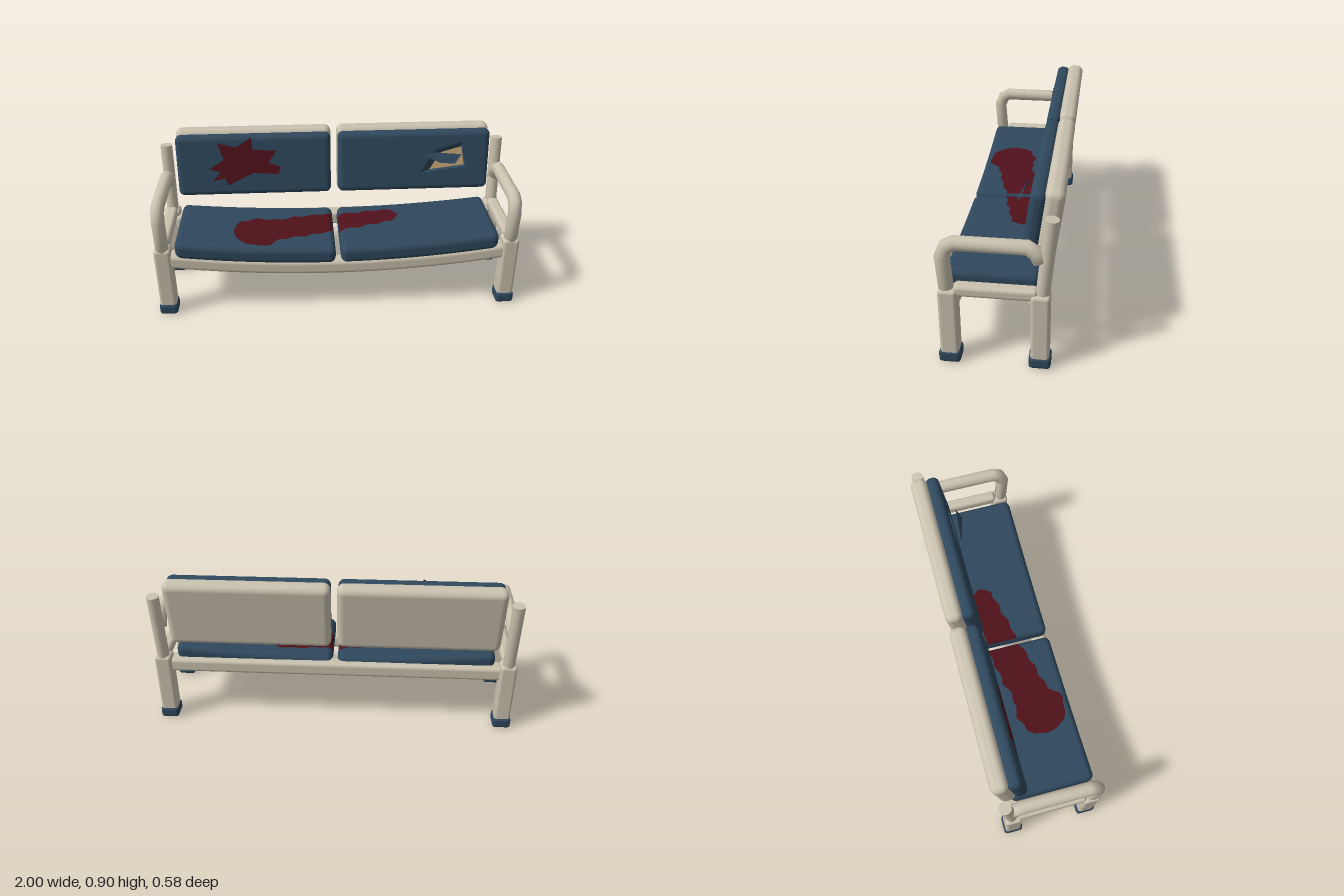
import * as THREE from 'three';

const mat = (color, side = THREE.FrontSide) => new THREE.MeshStandardMaterial({ color, side });
const BEIGE = mat(0xcac2af), BLUE = mat(0x2f485d);
const BLUE2 = mat(0x2f485d, THREE.DoubleSide), RED2 = mat(0x50111a, THREE.DoubleSide);
const FOAM = mat(0xc8a878, THREE.DoubleSide);

function add(parent, name, geo, material, x = 0, y = 0, z = 0) {
  const m = new THREE.Mesh(geo, material);
  m.name = name;
  m.position.set(x, y, z);
  parent.add(m);
  return m;
}

// Box with rounded edges of radius r; xMid = divisions along x so it can be bent
function softBox(w, h, d, r, xMid = 1) {
  const k = 4, mids = [xMid, 1, 1], size = [w, h, d];
  const n = mids.map((m) => m + 2 * k);
  const geo = new THREE.BoxGeometry(1, 1, 1, ...n);
  const p = geo.attributes.position, e = new THREE.Vector3(), c = new THREE.Vector3();
  for (let v = 0; v < p.count; v++) {
    for (let a = 0; a < 3; a++) {
      const i = Math.round((p.getComponent(v, a) + 0.5) * n[a]);
      const inner = size[a] / 2 - r;
      const out = i < k ? i / k - 1 : i > n[a] - k ? (i - n[a] + k) / k : 0;
      e.setComponent(a, Math.tan(out * Math.PI / 4));
      const t = THREE.MathUtils.clamp((i - k) / mids[a], 0, 1);
      c.setComponent(a, inner * (2 * t - 1));
    }
    e.normalize();
    c.addScaledVector(e, r);
    p.setXYZ(v, c.x, c.y, c.z);
    geo.attributes.normal.setXYZ(v, e.x, e.y, e.z);
  }
  return geo;
}

// Sag: higher towards the outer ends; lift flattens the sag towards the rear
function sag(x, z, { rise, half, lift, d }) {
  const t = (x / half) ** 2;
  return rise * t + lift * (1 - t) * (0.5 - z / d);
}
function bend(geo, cx, spec) {
  const p = geo.attributes.position;
  for (let v = 0; v < p.count; v++) p.setY(v, p.getY(v) + sag(p.getX(v) + cx, p.getZ(v), spec));
  return geo;
}

// Round bar with mitred bends along [z, y] points
function bentBar(pts, r, sides = 16) {
  const P = pts.map(([z, y]) => new THREE.Vector2(z, y)), pos = [], idx = [];
  P.forEach((pt, i) => {
    const a = P[Math.max(i - 1, 0)], b = P[Math.min(i + 1, P.length - 1)];
    const d0 = pt.clone().sub(a).normalize(), d1 = b.clone().sub(pt).normalize();
    const t = d0.clone().add(d1).normalize();
    const miter = 1 / (i && i < P.length - 1 ? t.dot(d1) : 1);
    for (let s = 0; s < sides; s++) {
      const q = s / sides * Math.PI * 2, u = Math.cos(q) * r * miter;
      pos.push(Math.sin(q) * r, pt.y + t.x * u, pt.x - t.y * u);
      const n = i * sides + s, m = i * sides + (s + 1) % sides;
      if (i < P.length - 1) idx.push(n, n + sides, m, m, n + sides, m + sides);
    }
  });
  const last = (P.length - 1) * sides;
  for (let s = 1; s < sides - 1; s++) idx.push(0, s, s + 1, last, last + s + 1, last + s);
  const geo = new THREE.BufferGeometry();
  geo.setAttribute('position', new THREE.Float32BufferAttribute(pos, 3));
  geo.setIndex(idx);
  geo.computeVertexNormals();
  return geo;
}

const SEAT = { x: 0.448, w: 0.868, h: 0.1, d: 0.46, r: 0.035, y: 0.343, z: 0.047, rise: 0.062, half: 0.88, lift: 0.015 };
const FRONT_RAIL = { d: 0.085, rise: 0.065, half: 0.9, lift: 0 };
const BACK = { x: 0.4525, y: 0.712, z: -0.151, w: 0.865, h: 0.35, d: 0.076, r: 0.032, lean: 0.13 };
const toBack = (side) => ([x, y]) => new THREE.Vector2(x - side * BACK.x, (y - BACK.y) / Math.cos(BACK.lean));

// Spill draped over both seat cushions: columns of [x, back z, front z]
function spillGeometry() {
  const cols = [[-0.575, 0.11, 0.11], [-0.56, 0.04, 0.17], [-0.53, 0, 0.21], [-0.45, -0.03, 0.245], [-0.365, -0.025, 0.235],
    [-0.32, -0.02, 0.18], [-0.25, -0.05, 0.16], [-0.16, -0.065, 0.14], [-0.08, -0.08, 0.115], [0, -0.09, 0.09],
    [0.08, -0.08, 0.08], [0.215, -0.1, 0.045], [0.325, -0.1, 0.02], [0.36, -0.05, -0.04]];
  const at = (x, c) => {
    let i = 0;
    while (i < cols.length - 2 && cols[i + 1][0] < x) i++;
    return THREE.MathUtils.mapLinear(x, cols[i][0], cols[i + 1][0], cols[i][c], cols[i + 1][c]) + 0.006 * Math.sin(x * 60);
  };
  const point = (x, z) => {
    const gap = Math.max(SEAT.r - (Math.abs(x) - (SEAT.x - SEAT.w / 2)), 0);
    const drop = SEAT.r - Math.sqrt(Math.max(SEAT.r ** 2 - gap ** 2, 0));
    return [x, SEAT.y + SEAT.h / 2 + sag(x, z - SEAT.z, SEAT) - drop + 0.003, z];
  };
  const pos = [], idx = [], n = 120;
  for (let i = 0; i <= n; i++) {
    const x = -0.575 + 0.935 * i / n;
    pos.push(...point(x, at(x, 1)), ...point(x, at(x, 2)));
    const j = 2 * i;
    if (i < n && Math.abs(x + 0.004) > 0.018) idx.push(j, j + 1, j + 3, j, j + 3, j + 2);
  }
  const geo = new THREE.BufferGeometry();
  geo.setAttribute('position', new THREE.Float32BufferAttribute(pos, 3));
  geo.setIndex(idx);
  geo.computeVertexNormals();
  return geo;
}

// Hole in a back cushion: open its front, refill around the tear, add sloping walls and foam
function tearCushion(group, geo) {
  const front = BACK.d / 2, lo = front - 0.025, p = geo.attributes.position;
  const hx = BACK.w / 2 - BACK.r, hy = BACK.h / 2 - BACK.r;
  const keep = [], ix = geo.index.array;
  for (let i = 0; i < ix.length; i += 3) {
    const tri = [ix[i], ix[i + 1], ix[i + 2]];
    if (!tri.every((v) => p.getZ(v) > front - 1e-5)) keep.push(...tri);
  }
  geo.setIndex(keep);
  const tear = [[0.489, 0.643], [0.574, 0.777], [0.729, 0.82], [0.755, 0.675]].map(toBack(1));
  const focus = toBack(1)([0.72, 0.69]);
  const floor = tear.map((q) => q.clone().lerp(focus, 0.25));
  const face = new THREE.Shape([[-hx, -hy], [hx, -hy], [hx, hy], [-hx, hy]].map((q) => new THREE.Vector2(...q)));
  face.holes.push(new THREE.Path(tear));
  add(group, 'tornCover', new THREE.ShapeGeometry(face), BLUE2, 0, 0, front);
  add(group, 'foam', new THREE.ShapeGeometry(new THREE.Shape(floor)), FOAM, 0, 0, lo);
  const wall = [];
  tear.forEach((a, i) => {
    const j = (i + 1) % tear.length, b = tear[j], c = floor[i], d = floor[j];
    wall.push(a.x, a.y, front, b.x, b.y, front, d.x, d.y, lo, a.x, a.y, front, d.x, d.y, lo, c.x, c.y, lo);
  });
  const wallGeo = new THREE.BufferGeometry();
  wallGeo.setAttribute('position', new THREE.Float32BufferAttribute(wall, 3));
  wallGeo.computeVertexNormals();
  add(group, 'tearWall', wallGeo, BLUE2);
}

export function createModel() {
  const bench = new THREE.Group();
  bench.name = 'bench';

  // End frames: legs, feet, side rail, armrest and back post
  for (const [side, label] of [[1, 'left'], [-1, 'right']]) {
    const frame = new THREE.Group();
    frame.name = label + 'Frame';
    frame.position.x = side * 0.95;
    bench.add(frame);
    for (const [z, end] of [[0.236, 'front'], [-0.196, 'rear']]) {
      add(frame, end + 'Leg', softBox(0.09, 0.37, 0.09, 0.017), BEIGE, 0, 0.227, z);
      add(frame, end + 'Foot', softBox(0.1, 0.065, 0.106, 0.018), BLUE, 0, 0.0325, z);
    }
    add(frame, 'sideRail', softBox(0.065, 0.06, 0.39, 0.02), BEIGE, 0, 0.405, 0.013);
    add(frame, 'armrest', bentBar([[0.243, 0.39], [0.256, 0.575], [0.235, 0.63], [0.198, 0.65],
      [-0.13, 0.65], [-0.172, 0.622], [-0.19, 0.585]], 0.036), BEIGE);
    add(frame, 'backPost', new THREE.CylinderGeometry(0.033, 0.033, 0.42, 20), BEIGE, 0, 0.592, -0.221)
      .rotation.x = -0.09;
  }

  // Long rails: sagging at the front, straight at the rear
  add(bench, 'frontRail', bend(softBox(1.86, 0.085, FRONT_RAIL.d, 0.025, 24), 0, FRONT_RAIL), BEIGE, 0, 0.268, 0.231);
  add(bench, 'rearRail', softBox(1.86, 0.08, 0.085, 0.02), BEIGE, 0, 0.345, -0.175);

  // Seat cushions and padded backs
  for (const [side, label] of [[1, 'left'], [-1, 'right']]) {
    const seat = bend(softBox(SEAT.w, SEAT.h, SEAT.d, SEAT.r, 16), side * SEAT.x, SEAT);
    add(bench, label + 'Seat', seat, BLUE, side * SEAT.x, SEAT.y, SEAT.z);

    const back = new THREE.Group();
    back.name = label + 'Back';
    back.position.set(side * BACK.x, BACK.y, BACK.z);
    back.rotation.x = -BACK.lean;
    bench.add(back);
    add(back, 'backShell', softBox(0.872, 0.39, 0.092, 0.037), BEIGE, 0, 0.002, -0.073);
    const pad = softBox(BACK.w, BACK.h, BACK.d, BACK.r);
    add(back, 'backCushion', pad, BLUE);
    if (side > 0) tearCushion(back, pad);
    else {
      const splat = [[-0.707, 0.697], [-0.643, 0.68], [-0.686, 0.627], [-0.617, 0.643], [-0.6, 0.6], [-0.515, 0.643],
        [-0.456, 0.67], [-0.318, 0.659], [-0.302, 0.702], [-0.371, 0.729], [-0.323, 0.798], [-0.456, 0.804],
        [-0.462, 0.878], [-0.547, 0.82], [-0.65, 0.846], [-0.62, 0.75]].map(toBack(-1));
      add(back, 'backStain', new THREE.ShapeGeometry(new THREE.Shape(splat)), RED2, 0, 0, BACK.d / 2 + 0.003);
    }
  }
  add(bench, 'seatStain', spillGeometry(), RED2);

  // Loose, twisted flap of torn cover
  const flapPts = [[0.51, 0.761, -0.093], [0.595, 0.725, -0.07], [0.675, 0.727, -0.05],
    [0.713, 0.772, -0.077], [0.569, 0.782, -0.088]];
  const flap = new THREE.ShapeGeometry(new THREE.Shape(flapPts.map(([x, y]) => new THREE.Vector2(x, y))));
  flapPts.forEach((q, i) => flap.attributes.position.setXYZ(i, ...q));
  flap.computeVertexNormals();
  add(bench, 'tornFlap', flap, BLUE2);

  return bench;
}
